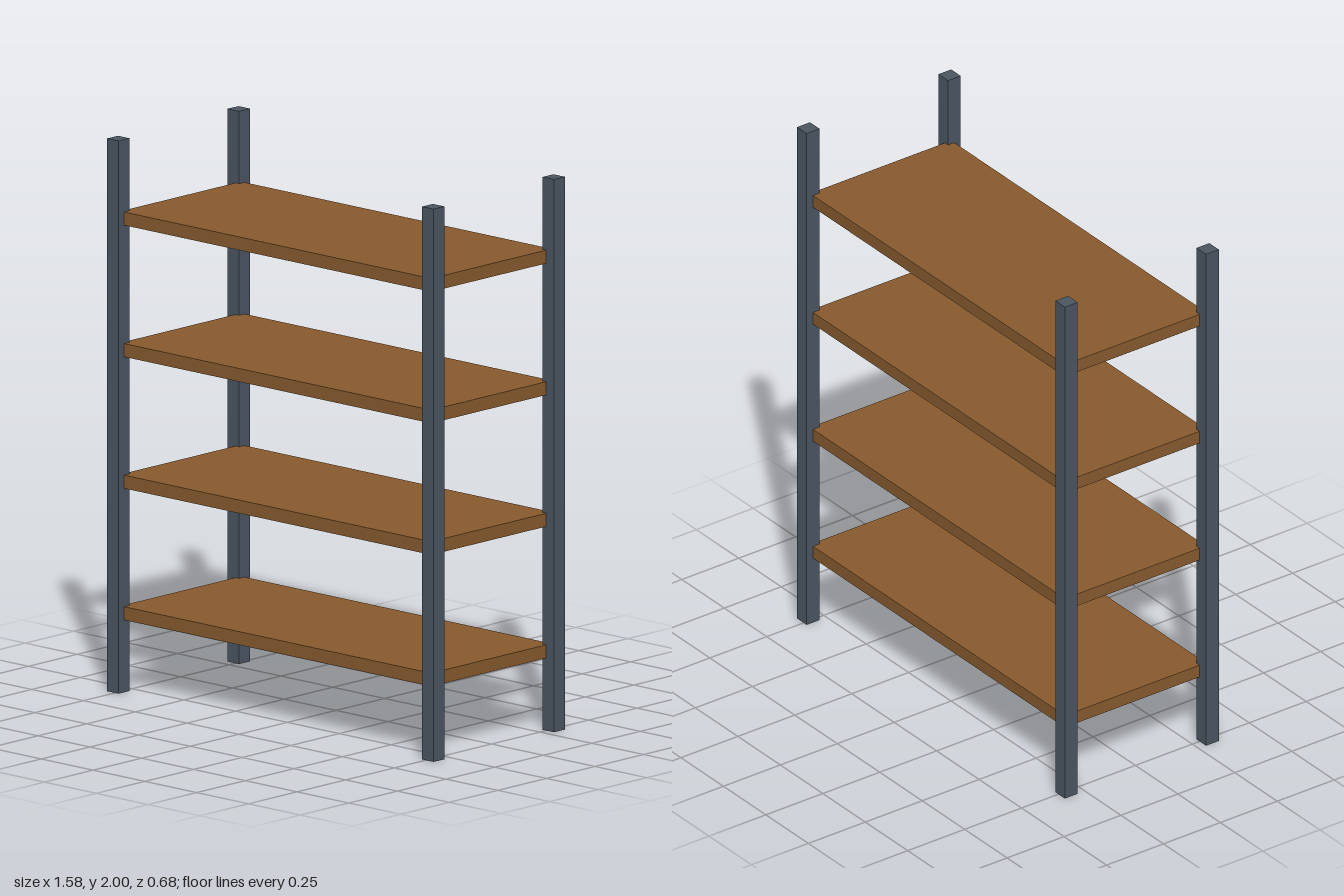
import * as THREE from 'three';

const HEIGHT = 2;
const POST = 0.056;
const POST_X = 0.76;
const POST_Z = 0.31;
const SHELF = { width: 1.5, thickness: 0.048, depth: 0.62 };
const FIRST_SHELF_Y = 0.286;
const SHELF_STEP = 0.476;

export function createModel() {
  const steel = new THREE.MeshStandardMaterial({ color: 0x4b5662 });
  steel.name = 'slate steel';
  const wood = new THREE.MeshStandardMaterial({ color: 0x875a2e });
  wood.name = 'brown wood';

  const model = new THREE.Group();
  model.name = 'shelvingUnit';

  // Four square corner posts
  const postGeometry = new THREE.BoxGeometry(POST, HEIGHT, POST);
  for (const [zName, z] of [['front', POST_Z], ['back', -POST_Z]]) {
    for (const [xName, x] of [['Left', POST_X], ['Right', -POST_X]]) {
      const post = new THREE.Mesh(postGeometry, steel);
      post.name = `${zName}${xName}Post`;
      post.position.set(x, HEIGHT / 2, z);
      model.add(post);
    }
  }

  // Four evenly spaced boards, their corners set into the posts
  const shelfGeometry = new THREE.BoxGeometry(SHELF.width, SHELF.thickness, SHELF.depth);
  for (let i = 0; i < 4; i++) {
    const shelf = new THREE.Mesh(shelfGeometry, wood);
    shelf.name = `shelf${i + 1}`;
    shelf.position.y = FIRST_SHELF_Y + i * SHELF_STEP;
    model.add(shelf);
  }

  return model;
}
